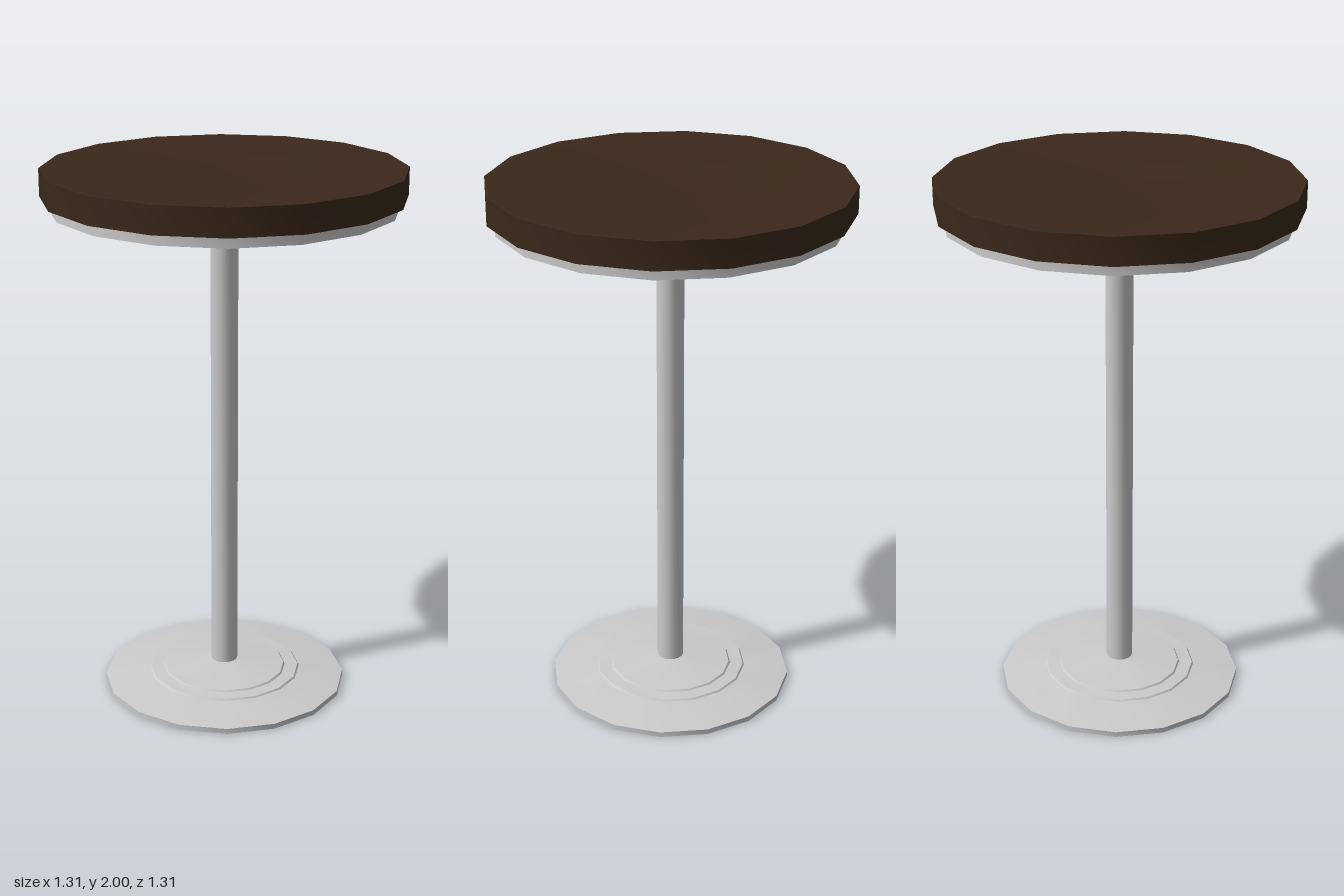
import * as THREE from 'three';
import { toCreasedNormals } from 'three/addons/utils/BufferGeometryUtils.js';

const SIDES = 16;

// Turned part from [radius, height] points, listed from the bottom up the outside
function turned(name, points, material) {
  const profile = points.map(([r, y]) => new THREE.Vector2(r, y));
  const geometry = toCreasedNormals(new THREE.LatheGeometry(profile, SIDES), 0.5);
  const mesh = new THREE.Mesh(geometry, material);
  mesh.name = name;
  return mesh;
}

export function createModel() {
  const metal = new THREE.MeshStandardMaterial({ color: 0xcccccc });
  const wood = new THREE.MeshStandardMaterial({ color: 0x3a281a });
  const table = new THREE.Group();
  table.name = 'pedestalTable';

  // Round top with a very shallow rim groove and centre inset
  table.add(turned('tableTop', [
    [0, 1.9], [0.655, 1.9], [0.655, 2], [0.62, 2], [0.59, 1.998],
    [0.095, 1.998], [0.082, 1.996], [0, 1.996],
  ], wood));

  // Open metal ring under the top
  table.add(turned('apronRing', [
    [0.583, 1.9], [0.583, 1.86], [0.627, 1.86], [0.627, 1.9],
  ], metal));

  // Central column
  table.add(turned('column', [[0.05, 0.06], [0.05, 1.9]], metal));

  // Stepped, shallow conical foot
  table.add(turned('base', [
    [0, 0], [0.46, 0], [0.46, 0.02], [0.29, 0.043], [0.285, 0.049],
    [0.235, 0.05], [0.23, 0.056], [0.05, 0.082], [0, 0.082],
  ], metal));

  return table;
}
